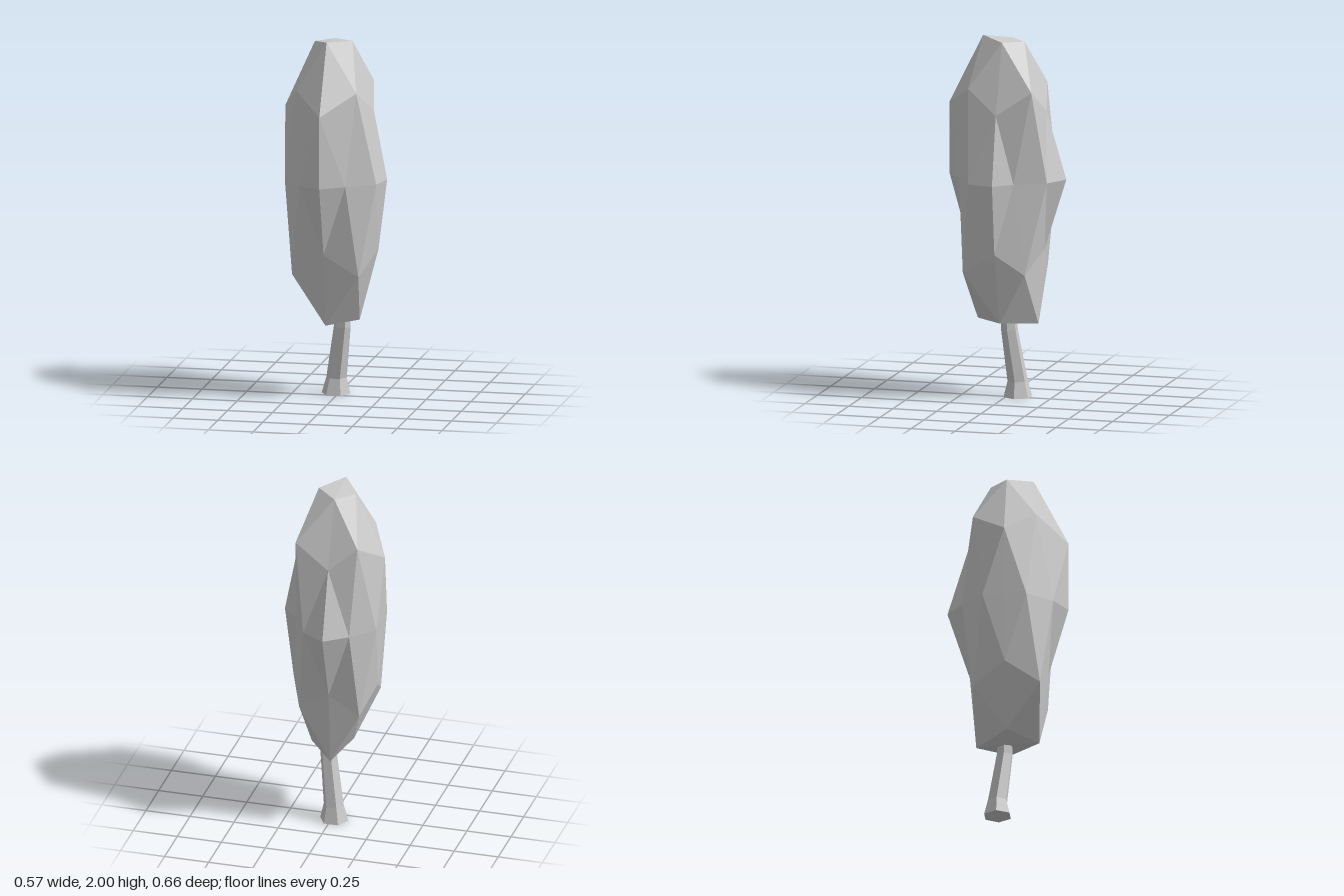
import * as THREE from 'three';

const material = () => new THREE.MeshStandardMaterial({ color: 0xcccccc, flatShading: true });

function meshFrom(name, triangles) {
  const geometry = new THREE.BufferGeometry();
  geometry.setAttribute('position', new THREE.Float32BufferAttribute(triangles.flat(2), 3));
  geometry.computeVertexNormals();
  const mesh = new THREE.Mesh(geometry, material());
  mesh.name = name;
  return mesh;
}

// Crown: uneven octahedral sphere. Each ring runs front, right, back, left,
// and ring n from a pole has n segments per quarter.
function createCrown() {
  const top = [[-0.025, 1.985, 0]];
  const cap = [[-0.025, 2, 0.14], [0.09, 1.985, 0], [-0.025, 1.975, -0.095], [-0.12, 1.975, 0]];
  const upper = [
    [-0.025, 1.62, 0.33], [0.148, 1.73, 0.175], [0.21, 1.6, 0], [0.168, 1.73, -0.19],
    [-0.025, 1.6, -0.22], [-0.18, 1.73, -0.18], [-0.285, 1.61, 0], [-0.187, 1.73, 0.165],
  ];
  const middle = [
    [-0.025, 0.33], [0.1, 0.24], [0.253, 0.145], [0.283, 0], [0.19, -0.095], [0.105, -0.26],
    [-0.025, -0.333], [-0.15, -0.24], [-0.27, -0.12], [-0.267, 0], [-0.262, 0.12], [-0.155, 0.257],
  ].map(([x, z]) => [x, 1.22, z]);
  const lower = [
    [-0.025, 0.83, 0.22], [0.165, 0.71, 0.2], [0.235, 0.83, 0], [0.16, 0.71, -0.15],
    [-0.025, 0.83, -0.21], [-0.19, 0.71, -0.18], [-0.245, 0.83, 0], [-0.207, 0.71, 0.19],
  ];
  const base = [[-0.025, 0.425, 0.17], [0.13, 0.43, 0], [-0.025, 0.41, -0.175], [-0.11, 0.48, 0]];
  const bottom = [[-0.025, 0.43, 0]];

  const triangles = [];
  const add = (a, b, c, flip) => triangles.push(flip ? [a, c, b] : [a, b, c]);
  const join = (small, large, n, flip) => {
    const s = (i) => small[i % small.length];
    const l = (i) => large[i % large.length];
    for (let q = 0; q < 4; q++) {
      for (let i = 0; i <= n; i++) {
        const a = q * n + i;
        const b = q * (n + 1) + i;
        add(s(a), l(b), l(b + 1), flip);
        if (i < n) add(s(a), l(b + 1), s(a + 1), flip);
      }
    }
  };
  [top, cap, upper].forEach((ring, n) => join(ring, [cap, upper, middle][n], n, false));
  [bottom, base, lower].forEach((ring, n) => join(ring, [base, lower, middle][n], n, true));
  return meshFrom('crown', triangles);
}

// Trunk: leaning six-sided stem with a flared foot
function createTrunk() {
  const sections = [ // centre x, y, centre z, radius
    [-0.015, 0, -0.06, 0.08],
    [-0.012, 0.09, -0.06, 0.057],
    [0.027, 0.38, -0.025, 0.047],
    [0.027, 0.48, -0.02, 0.045],
  ];
  const rings = sections.map(([x, y, z, r]) => Array.from({ length: 6 }, (_, i) => {
    const a = i * Math.PI / 3;
    return [x + r * Math.cos(a), y, z - r * Math.sin(a)];
  }));
  const triangles = [];
  for (let i = 0; i < 6; i++) {
    const j = (i + 1) % 6;
    for (let k = 0; k < 3; k++) {
      const [p, q] = [rings[k], rings[k + 1]];
      triangles.push([p[i], p[j], q[j]], [p[i], q[j], q[i]]);
    }
    triangles.push([sections[0].slice(0, 3), rings[0][j], rings[0][i]]);
  }
  return meshFrom('trunk', triangles);
}

export function createModel() {
  const tree = new THREE.Group();
  tree.name = 'tree';
  tree.add(createCrown(), createTrunk());
  return tree;
}
